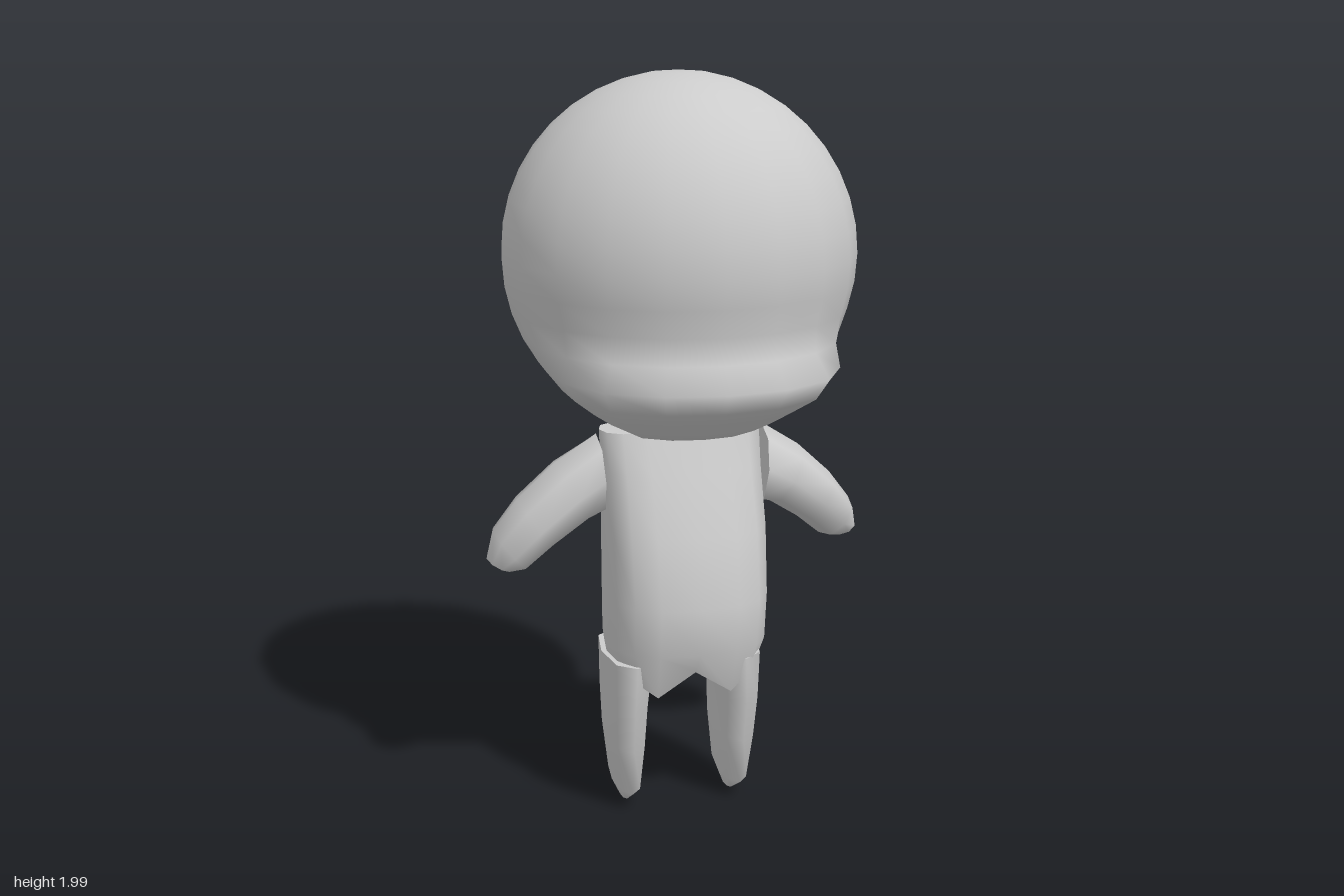
import * as THREE from 'three';

const material = new THREE.MeshStandardMaterial({ color: 0xcccccc });

// Skin rounded rings, each { c: centre, u, v: half axes }, with u x v along the path; crisp caps.
function loft(name, sections, sides, power, adjust) {
  const rings = sections.map(({ c, u, v }, i) => {
    const ring = [];
    for (let j = 0; j < sides; j++) {
      const a = (j / sides) * Math.PI * 2;
      const round = (t) => Math.sign(t) * Math.pow(Math.abs(t), power);
      const cu = round(Math.cos(a)), sv = round(Math.sin(a));
      const p = c.map((k, n) => k + u[n] * cu + v[n] * sv);
      if (adjust) adjust(p, i);
      ring.push(p);
    }
    return ring;
  });
  const pos = rings.flat(2), index = [];
  for (let i = 0; i < rings.length - 1; i++) {
    for (let j = 0; j < sides; j++) {
      const k = (j + 1) % sides;
      const a = i * sides + j, b = i * sides + k, c = a + sides, d = b + sides;
      index.push(a, b, c, b, d, c);
    }
  }
  for (const end of [0, rings.length - 1]) {
    const base = pos.length / 3;
    const centre = [...sections[end].c];
    if (adjust) adjust(centre, end);
    pos.push(...rings[end].flat(), ...centre);
    for (let j = 0; j < sides; j++) {
      const a = base + j, b = base + ((j + 1) % sides), m = base + sides;
      if (end === 0) index.push(b, a, m);
      else index.push(a, b, m);
    }
  }
  const geo = new THREE.BufferGeometry();
  geo.setAttribute('position', new THREE.Float32BufferAttribute(pos, 3));
  geo.setIndex(index);
  geo.computeVertexNormals();
  const mesh = new THREE.Mesh(geo, material);
  mesh.name = name;
  return mesh;
}

// Horizontal ring from a centre x, height, half width, front z and back z.
const level = (x, y, hx, front, back) => ({
  c: [x, y, (front + back) / 2], u: [hx, 0, 0], v: [0, 0, (front - back) / 2],
});

// Ball head whose lower front rings are pulled out into a broad bill.
function makeHead() {
  const R = 0.469, N = 20;
  const geo = new THREE.SphereGeometry(R, N, N);
  const bill = { 13: 0.45, 14: 0.5, 15: 0.46, 16: 0.38, 17: 0.315, 18: 0.262, 19: 0.12 };
  const p = geo.attributes.position;
  const normal = geo.attributes.normal;
  for (let i = 0; i < p.count; i++) {
    const row = Math.floor(i / (N + 1));
    if (!bill[row]) continue;
    const x = p.getX(i), z = p.getZ(i), r = Math.hypot(x, z);
    const angle = Math.abs(Math.atan2(x, z));
    const w = 1 - THREE.MathUtils.smoothstep(angle, 0.45, 1.55);
    const k = THREE.MathUtils.lerp(1, bill[row] / r, w);
    p.setXYZ(i, x * k, p.getY(i), z * k);
  }
  // Average normals, then restore the hidden seam at the back and the poles.
  const ball = normal.clone();
  geo.computeVertexNormals();
  for (let i = 0; i < p.count; i++) {
    const row = Math.floor(i / (N + 1));
    if (row < 12 || row === N || p.getZ(i) < -0.02) {
      geo.attributes.normal.setXYZ(i, ball.getX(i), ball.getY(i), ball.getZ(i));
    }
  }
  const head = new THREE.Mesh(geo, material);
  head.name = 'head';
  head.position.set(0, 1.531, -0.015);
  return head;
}

// Torso with a rounded belly and an arched hem over each leg.
function makeTorso() {
  const sections = [
    level(0, 1.065, 0.222, 0.085, -0.09),
    level(0, 0.96, 0.22, 0.13, -0.115),
    level(0, 0.8, 0.222, 0.2, -0.135),
    level(-0.002, 0.62, 0.22, 0.248, -0.15),
    level(-0.005, 0.49, 0.218, 0.238, -0.135),
    level(-0.008, 0.41, 0.208, 0.2, -0.11),
  ];
  const last = sections.length - 1;
  return loft('torso', sections, 16, 0.75, (p, i) => {
    if (i !== last) return;
    const t = Math.min(1, Math.abs(p[0] + 0.008) / 0.208);
    p[1] = t < 0.5 ? 0.43 - 0.14 * t : 0.36 + 0.16 * (t - 0.5);
  });
}

// Tapered arm running down and outwards; sweep carries the hand backwards.
function makeArm(s, sweep) {
  // x, y, half thickness, half depth, slope of the cross-section, share of the sweep
  const rows = [
    [0.225, 0.945, 0.11, 0.1, 0.05, 0.1],
    [0.3, 0.905, 0.088, 0.118, 0.5, 0.3],
    [0.4, 0.825, 0.077, 0.118, 0.65, 0.7],
    [0.47, 0.752, 0.066, 0.1, 0.7, 0.95],
    [0.5, 0.712, 0.035, 0.06, 1.1, 1.05],
  ];
  const sections = rows.map(([x, y, h, d, a, k]) => ({
    c: [s * x, y, sweep * k],
    u: [s * h * Math.sin(a), h * Math.cos(a), 0],
    v: [0, 0, s * d],
  }));
  return loft(s > 0 ? 'leftArm' : 'rightArm', sections, 8, 0.9);
}

// Leg: narrow across, deep front to back, with a blunt pointed foot.
function makeLeg(s) {
  const x = (k) => s * k - 0.016;
  return loft(s > 0 ? 'leftLeg' : 'rightLeg', [
    level(x(0.15), 0.455, 0.066, 0.2, -0.112),
    level(x(0.155), 0.32, 0.056, 0.19, -0.115),
    level(x(0.154), 0.2, 0.05, 0.167, -0.113),
    level(x(0.152), 0.065, 0.035, 0.14, -0.09),
    level(x(0.15), 0.012, 0.012, 0.055, -0.02),
  ], 8, 0.85);
}

export function createModel() {
  const model = new THREE.Group();
  model.name = 'figure';
  model.add(makeHead(), makeTorso());
  model.add(makeArm(1, -0.085), makeArm(-1, -0.005));
  for (const s of [1, -1]) model.add(makeLeg(s));
  return model;
}
